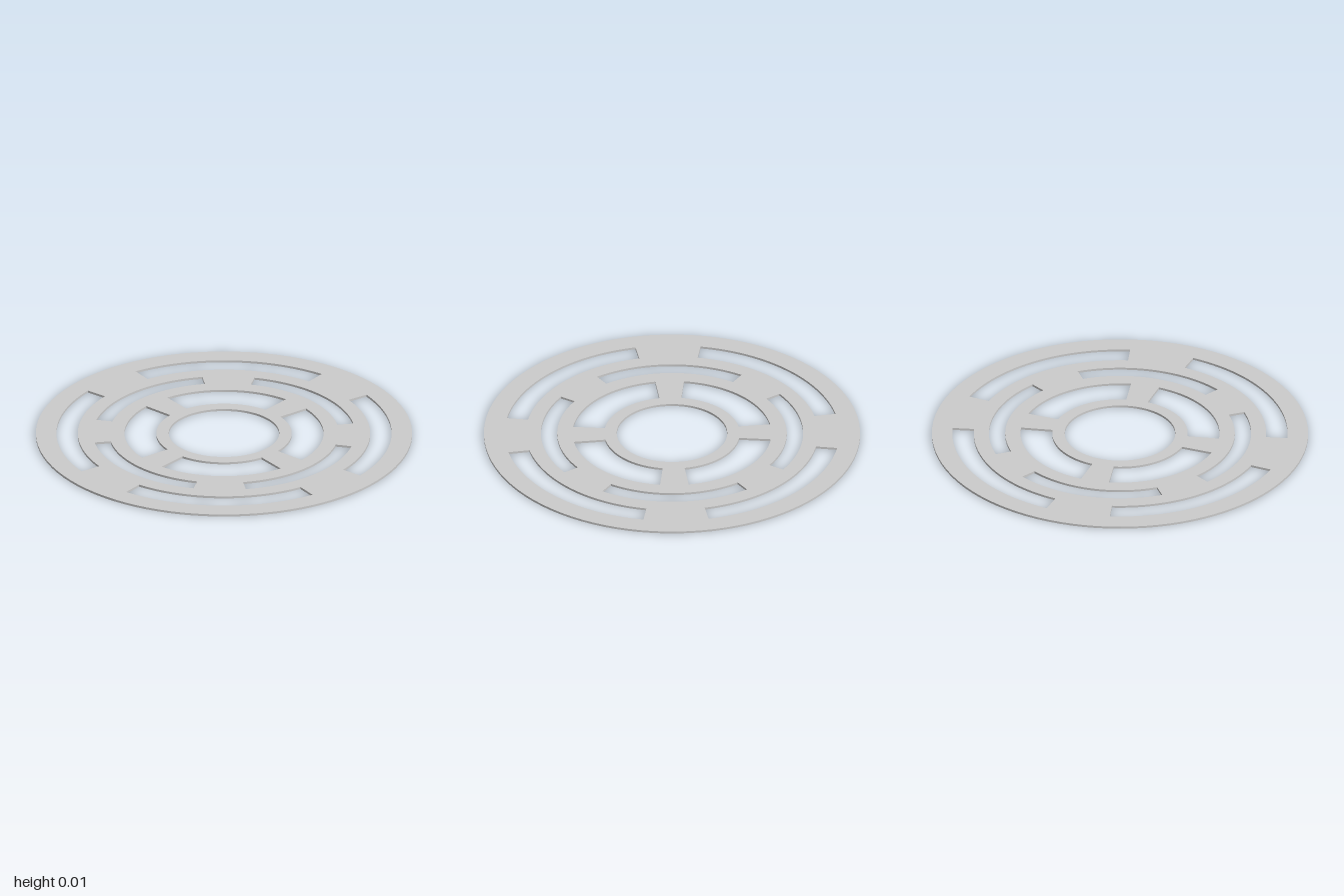
import * as THREE from 'three';

const THICKNESS = 0.012;
const rad = THREE.MathUtils.degToRad;

// Curved slot centred on angle mid; half-angles at its inner and outer arc, in degrees
function arcSlot(mid, rInner, rOuter, halfInner, halfOuter) {
  const slot = new THREE.Path();
  slot.absarc(0, 0, rOuter, rad(mid - halfOuter), rad(mid + halfOuter), false);
  slot.absarc(0, 0, rInner, rad(mid + halfInner), rad(mid - halfInner), true);
  slot.closePath();
  return slot;
}

export function createModel() {
  const group = new THREE.Group();
  group.name = 'slottedDisc';

  // Disc outline with a round centre hole
  const disc = new THREE.Shape();
  disc.absarc(0, 0, 1, 0, Math.PI * 2, false);
  const centre = new THREE.Path();
  centre.absarc(0, 0, 0.294, 0, Math.PI * 2, true);
  disc.holes.push(centre);

  // Three rings of four slots, the middle ring turned by 45 degrees
  for (let i = 0; i < 4; i++) {
    disc.holes.push(
      arcSlot(45 + i * 90, 0.36, 0.529, 35.7, 36.7),
      arcSlot(i * 90, 0.61, 0.697, 33.5, 33.5),
      arcSlot(45 + i * 90, 0.777, 0.891, 33.5, 33.8)
    );
  }

  // Thin plate laid flat on the ground
  const geometry = new THREE.ExtrudeGeometry(disc, {
    depth: THICKNESS, bevelEnabled: false, curveSegments: 48,
  });
  geometry.rotateX(-Math.PI / 2);
  const plate = new THREE.Mesh(geometry, new THREE.MeshStandardMaterial({ color: 0xcccccc }));
  plate.name = 'plate';
  group.add(plate);
  return group;
}
